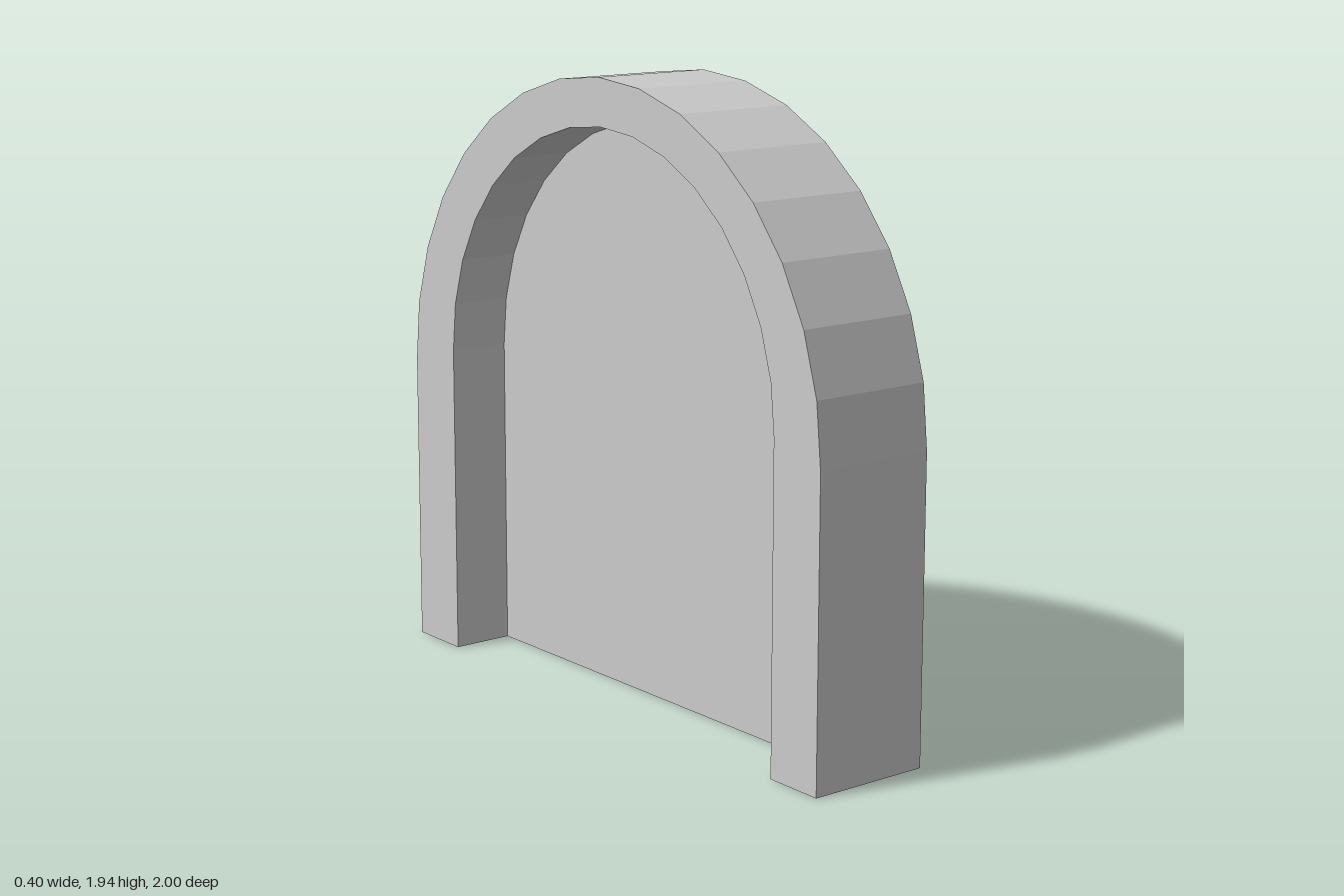
import * as THREE from 'three';

const WIDTH = 0.4;
const SEGMENTS = 16;

// Points of a round-topped outline, from the +z foot over the top to the -z foot
function archPoints(centre, radius, springY) {
  const points = [new THREE.Vector2(centre + radius, 0)];
  for (let i = 0; i <= SEGMENTS; i++) {
    const a = (i / SEGMENTS) * Math.PI;
    points.push(new THREE.Vector2(centre + radius * Math.cos(a), springY + radius * Math.sin(a)));
  }
  points.push(new THREE.Vector2(centre - radius, 0));
  return points;
}

export function createModel() {
  const group = new THREE.Group();
  group.name = 'archway';

  const outer = archPoints(0, 1, 0.94);
  const inner = archPoints(0.01, 0.794, 1.0);

  // Arched frame: outer outline joined to the opening, open at the bottom
  const frameShape = new THREE.Shape([...outer, ...inner.slice().reverse()]);
  const frameGeometry = new THREE.ExtrudeGeometry(frameShape, { depth: WIDTH, bevelEnabled: false });
  frameGeometry.translate(0, 0, -WIDTH / 2).rotateY(-Math.PI / 2);
  const frame = new THREE.Mesh(
    frameGeometry,
    new THREE.MeshStandardMaterial({ color: 0xcccccc, flatShading: true })
  );
  frame.name = 'archFrame';

  // Thin panel filling the opening halfway through the frame
  const panelGeometry = new THREE.ShapeGeometry(new THREE.Shape(inner)).rotateY(-Math.PI / 2);
  const panel = new THREE.Mesh(
    panelGeometry,
    new THREE.MeshStandardMaterial({ color: 0xcccccc, flatShading: true, side: THREE.DoubleSide })
  );
  panel.name = 'doorPanel';

  group.add(frame, panel);
  return group;
}
